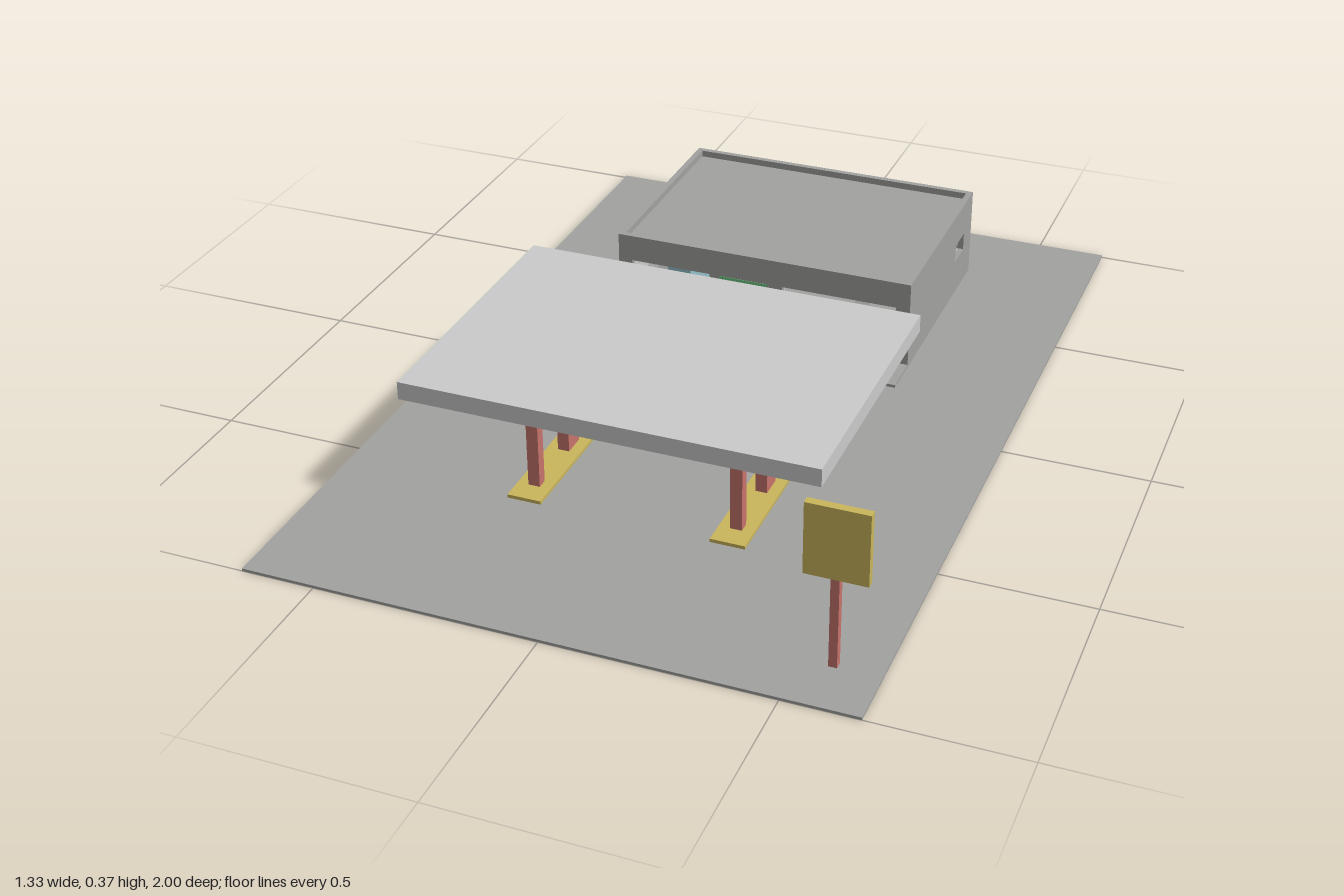
import * as THREE from 'three';

const mat = (name, color) => {
  const m = new THREE.MeshStandardMaterial({ color });
  m.name = name;
  return m;
};

export function createModel() {
  const grey = mat('concrete grey', 0xa2a2a0);
  const white = mat('light grey', 0xcbcbcb);
  const red = mat('red', 0xc6746c);
  const yellow = mat('yellow', 0xcab65c);
  const blue = mat('cooler blue', 0x93c1ca);
  const green = mat('door green', 0x72c685);

  const model = new THREE.Group();
  model.name = 'fillingStation';

  // Box given by its minimum and maximum on each axis
  function box(name, material, [x0, x1], [y0, y1], [z0, z1], parent = model) {
    const mesh = new THREE.Mesh(new THREE.BoxGeometry(x1 - x0, y1 - y0, z1 - z0), material);
    mesh.position.set((x0 + x1) / 2, (y0 + y1) / 2, (z0 + z1) / 2);
    mesh.name = name;
    parent.add(mesh);
    return mesh;
  }

  // Upright panel with rectangular holes [x0, x1, y0, y1]
  function panel(name, material, half, y0, y1, holes, depth, z) {
    const rect = (C, a, b, c, d) => new C([[a, c], [b, c], [b, d], [a, d]].map(p => new THREE.Vector2(...p)));
    const shape = rect(THREE.Shape, -half, half, y0, y1);
    for (const h of holes) shape.holes.push(rect(THREE.Path, ...h));
    const mesh = new THREE.Mesh(new THREE.ExtrudeGeometry(shape, { depth, bevelEnabled: false }), material);
    mesh.position.z = z;
    mesh.name = name;
    return mesh;
  }

  // Ground and front pavement
  box('ground', grey, [-0.665, 0.665], [0, 0.006], [-1, 1]);
  box('pavement', grey, [-0.37, 0.365], [0.006, 0.013], [-0.27, -0.17]);

  // Shop walls: grey outside, light lining inside, doors set in the openings
  const shop = new THREE.Group();
  shop.name = 'shop';
  shop.position.set(-0.0025, 0, -0.535);
  model.add(shop);
  const HX = 0.3675, HZ = 0.265, T = 0.014;
  const walls = [
    { name: 'front', turn: 0, half: HX, out: HZ, doors: [[-0.108, 0.014, 0.0135, 0.16]],
      windows: [[-0.333, -0.132, 0.06, 0.16], [0.052, 0.333, 0.06, 0.16]] },
    { name: 'back', turn: Math.PI, half: HX, out: HZ, doors: [[-0.323, -0.262, 0.0135, 0.148]], windows: [] },
    { name: 'right', turn: Math.PI / 2, half: HZ - T, out: HX, doors: [], windows: [[0.125, 0.198, 0.097, 0.14]] },
    { name: 'left', turn: -Math.PI / 2, half: HZ - T, out: HX, doors: [[-0.205, -0.145, 0.0135, 0.148]], windows: [] },
  ];
  for (const w of walls) {
    const side = new THREE.Group();
    side.name = w.name + 'Wall';
    side.rotation.y = w.turn;
    const holes = [...w.doors, ...w.windows];
    side.add(panel(w.name + 'Outer', grey, w.half, 0.006, 0.225, holes, T, w.out - T));
    side.add(panel(w.name + 'Lining', white, w.half - T, 0.014, 0.2, holes, 0.002, w.out - T - 0.002));
    for (const [x0, x1, y0, y1] of w.doors)
      box(w.name + 'Door', green, [x0, x1], [y0, y1], [w.out - T - 0.003, w.out + 0.001], side);
    shop.add(side);
  }

  // Recessed roof and floor
  box('roof', grey, [-0.356, 0.351], [0.2, 0.209], [-0.787, -0.283]);
  box('floor', grey, [-0.356, 0.351], [0.006, 0.014], [-0.787, -0.283]);

  // Storeroom partitions and cooler wall
  box('rearPartition', white, [-0.354, 0.095], [0.014, 0.2], [-0.632, -0.622]);
  box('sidePartition', white, [0.085, 0.095], [0.014, 0.2], [-0.784, -0.632]);
  box('cooler', blue, [-0.352, 0.095], [0.014, 0.155], [-0.622, -0.59]);

  // Shelving and counter
  for (const x of [-0.284, -0.17])
    box('shelf', blue, [x, x + 0.06], [0.014, 0.12], [-0.53, -0.37]);
  box('lowShelf', grey, [-0.35, -0.323], [0.014, 0.08], [-0.53, -0.35]);
  box('counterFront', grey, [0.145, 0.19], [0.014, 0.08], [-0.58, -0.36]);
  box('counterReturn', grey, [0.19, 0.264], [0.014, 0.08], [-0.4, -0.36]);

  // Canopy over two islands, each with two columns and a pump
  box('canopy', white, [-0.465, 0.465], [0.265, 0.306], [0, 0.665]);
  for (const x of [-0.234, 0.231]) {
    box('island', yellow, [x - 0.039, x + 0.039], [0.006, 0.014], [0.1, 0.568]);
    for (const z of [0.166, 0.504])
      box('column', red, [x - 0.0135, x + 0.0135], [0.014, 0.265], [z - 0.0125, z + 0.0125]);
    box('pump', red, [x - 0.0135, x + 0.0135], [0.014, 0.12], [0.31, 0.364]);
  }

  // Roadside sign
  box('signPole', red, [0.556, 0.574], [0.006, 0.21], [0.858, 0.876]);
  box('signBoard', yellow, [0.5, 0.632], [0.21, 0.37], [0.858, 0.876]);

  // Waste container behind the shop
  box('wasteContainer', red, [0.03, 0.165], [0.006, 0.083], [-0.945, -0.866]);

  return model;
}
